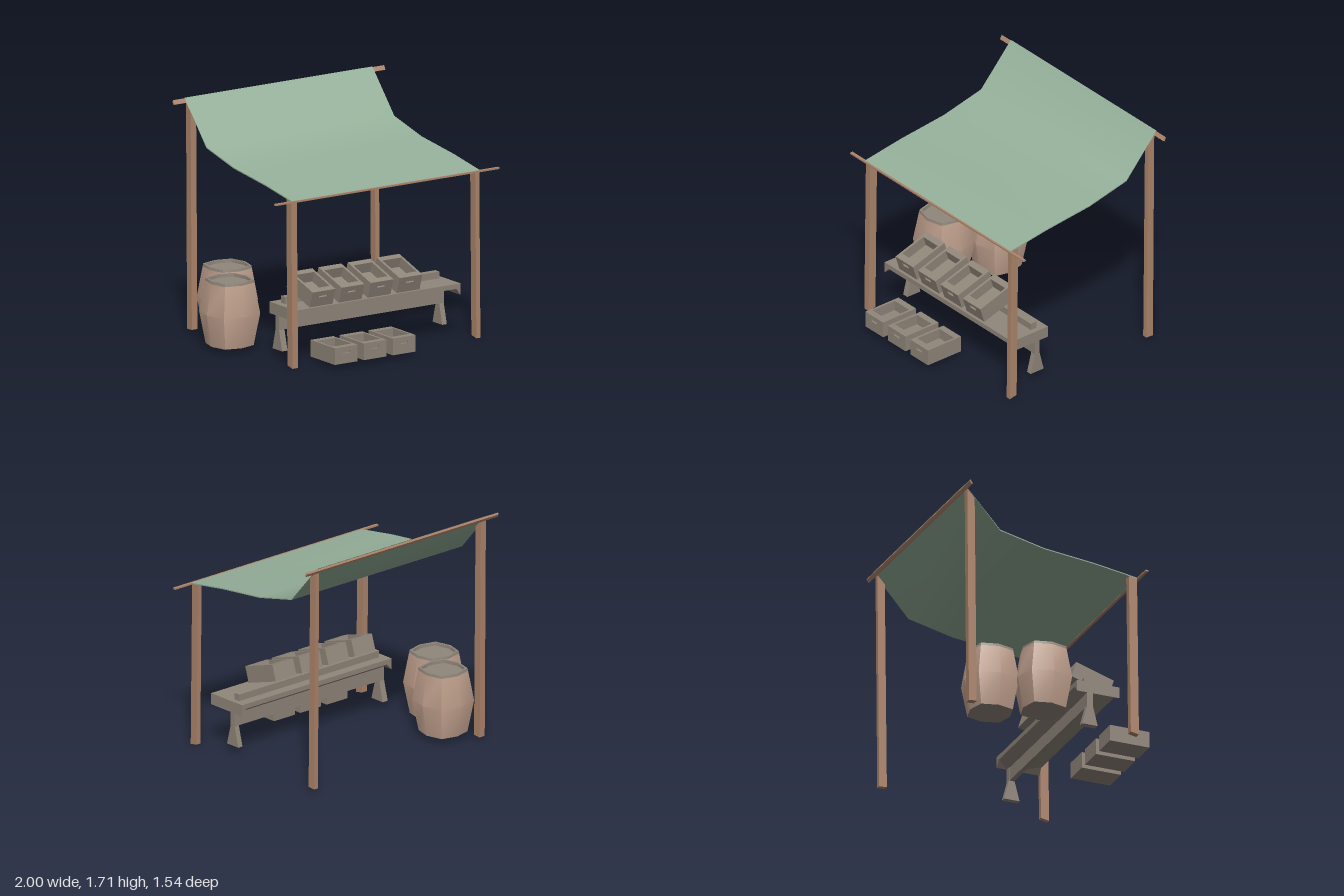
import * as THREE from 'three';
import { toCreasedNormals, mergeGeometries } from 'three/addons/utils/BufferGeometryUtils.js';

const flat = (name, color) => {
  const m = new THREE.MeshStandardMaterial({ color });
  m.name = name;
  return m;
};

export function createModel() {
  const root = new THREE.Group();
  root.name = 'marketStall';
  const cloth = flat('greenCloth', 0x95b09a);
  const poleWood = flat('poleWood', 0xae866c);
  const greyWood = flat('greyWood', 0x91877b);
  const barrelWood = flat('barrelWood', 0xc2a28f);

  const add = (parent, name, geo, mat) => {
    const mesh = new THREE.Mesh(geo, mat);
    mesh.name = name;
    parent.add(mesh);
    return mesh;
  };
  const poly = pts => new THREE.Shape(pts.map(p => new THREE.Vector2(...p)));
  // box from its minimum and maximum corners
  const box = (x0, x1, y0, y1, z0, z1) =>
    new THREE.BoxGeometry(x1 - x0, y1 - y0, z1 - z0)
      .translate((x0 + x1) / 2, (y0 + y1) / 2, (z0 + z1) / 2);
  // side profile given as [z, y], extruded from x0 to x1
  const extrudeX = (pts, x0, x1) =>
    new THREE.ExtrudeGeometry(poly(pts.map(([z, y]) => [-z, y])), { depth: x1 - x0, bevelEnabled: false })
      .rotateY(Math.PI / 2).translate(x0, 0, 0);
  const extrudeZ = (shape, z0, z1) =>
    new THREE.ExtrudeGeometry(shape, { depth: z1 - z0, bevelEnabled: false }).translate(0, 0, z0);

  // Sagging cloth canopy
  const sag = [[0.59, 1.222], [0.25, 1.276], [-0.15, 1.322], [-0.49, 1.402], [-0.765, 1.707]];
  const under = sag.map(([z, y], i) => (i === 4 ? [z + 0.006, y - 0.005] : [z, y - 0.008])).reverse();
  add(root, 'canopy', toCreasedNormals(extrudeX([...sag, ...under], -0.78, 0.84), 0.75), cloth);

  // Posts, leaning slightly
  const frontPost = [[0.585, 0], [0.522, 0.012], [0.507, 1.225], [0.57, 1.218]];
  const backPost = [[-0.672, 0.028], [-0.732, 0.025], [-0.745, 1.675], [-0.688, 1.615]];
  for (const [x0, x1, side] of [[-0.78, -0.732, 'Right'], [0.805, 0.84, 'Left']]) {
    add(root, 'frontPost' + side, extrudeX(frontPost, x0, x1), poleWood);
    add(root, 'backPost' + side, extrudeX(backPost, x0, x1), poleWood);
  }
  // Crossbars holding the cloth
  add(root, 'frontBar', box(-0.93, 1.0, 1.212, 1.224, 0.57, 0.592), poleWood);
  add(root, 'backBar', extrudeX([[-0.746, 1.673], [-0.757, 1.668], [-0.77, 1.69], [-0.763, 1.703]], -0.88, 0.94), poleWood);

  // Table: top with drooping ends, ridged underside, rail, apron and splayed legs
  const table = new THREE.Group();
  table.name = 'table';
  root.add(table);
  const top = poly([[-0.68, 0.39], [-0.68, 0.306], [-0.635, 0.354], [0.705, 0.354], [0.74, 0.306], [0.74, 0.39]]);
  add(table, 'tableTop', extrudeZ(top, 0.15, 0.48), greyWood);
  add(table, 'tableUnderside', extrudeX([[0.478, 0.356], [0.152, 0.356], [0.23, 0.306], [0.27, 0.306]], -0.675, 0.735), greyWood);
  add(table, 'backRail', box(-0.63, 0.70, 0.39, 0.44, 0.225, 0.275), greyWood);
  add(table, 'apron', box(-0.64, 0.71, 0.205, 0.31, 0.232, 0.268), greyWood);
  const leg = [[0.31, 0.057], [0.19, 0.057], [0.228, 0.205], [0.228, 0.32], [0.272, 0.32], [0.272, 0.205]];
  for (const [x0, x1, side] of [[-0.68, -0.633, 'Right'], [0.70, 0.74, 'Left']])
    add(table, 'tableLeg' + side, extrudeX(leg, x0, x1), greyWood);

  // Open crate with thick end walls and a handle slot
  const W = 0.098, H = 0.122, D = 0.152;
  const rect = (x0, x1, y0, y1) => [[x0, y0], [x1, y0], [x1, y1], [x0, y1]];
  const face = poly(rect(-W, W, 0, H));
  face.holes.push(poly(rect(-0.033, 0.033, 0.073, 0.096).reverse()));
  const rim = poly(rect(-W, W, -D + 0.015, D - 0.015));
  rim.holes.push(poly(rect(-W + 0.018, W - 0.018, -D + 0.05, D - 0.05).reverse()));
  const crateGeo = mergeGeometries([
    extrudeZ(face, D - 0.015, D),
    extrudeZ(poly(rect(-W, W, 0, H)), -D, -D + 0.015),
    extrudeZ(rim, 0, H).rotateX(-Math.PI / 2),
    box(-W + 0.001, W - 0.001, 0, 0.045, -D + 0.016, D - 0.016).toNonIndexed(),
  ]);
  const crate = (name, x, y, z, tilt) => {
    const c = add(root, name, crateGeo, greyWood);
    c.position.set(x, y, z);
    c.rotation.x = tilt;
  };
  for (let i = 0; i < 4; i++) {
    const x = -0.445 + i * 0.25;
    crate('displayCrate' + (i + 1), x, 0.435, 0.3125, 0.306);
    if (i < 3) crate('floorCrate' + (i + 1), x, 0.033, 0.618, 0);
  }

  // Barrels: squarish eight-sided rings, bulging at the middle
  const ring = (r, y) => Array.from({ length: 8 }, (_, i) => {
    const a = i * Math.PI / 4, k = r * (i % 2 ? 1.12 : 1);
    return [Math.cos(a) * k, y, -Math.sin(a) * k];
  });
  const loft = rings => {
    const pos = [];
    for (let j = 0; j < rings.length - 1; j++)
      for (let i = 0; i < 8; i++) {
        const n = (i + 1) % 8, [a, b] = [rings[j], rings[j + 1]];
        for (const p of [a[i], a[n], b[n], a[i], b[n], b[i]]) pos.push(...p);
      }
    const g = new THREE.BufferGeometry();
    g.setAttribute('position', new THREE.Float32BufferAttribute(pos, 3));
    return toCreasedNormals(g, 0.56);
  };
  const bodyGeo = loft([ring(0.155, 0), ring(0.197, 0.235), ring(0.159, 0.458)]);
  const rimGeo = loft([ring(0.159, 0.458), ring(0.155, 0.478), ring(0.14, 0.478), ring(0.138, 0.455), ring(0, 0.455)]);
  const baseGeo = loft([ring(0, 0), ring(0.155, 0)]);
  for (const [name, x, y, z] of [['frontBarrel', -0.803, 0.032, -0.167], ['backBarrel', -0.6, 0.042, -0.49]]) {
    const b = new THREE.Group();
    b.name = name;
    b.position.set(x, y, z);
    add(b, 'barrelBody', bodyGeo, barrelWood);
    add(b, 'barrelRimAndLid', rimGeo, greyWood);
    add(b, 'barrelBase', baseGeo, greyWood);
    root.add(b);
  }
  return root;
}
